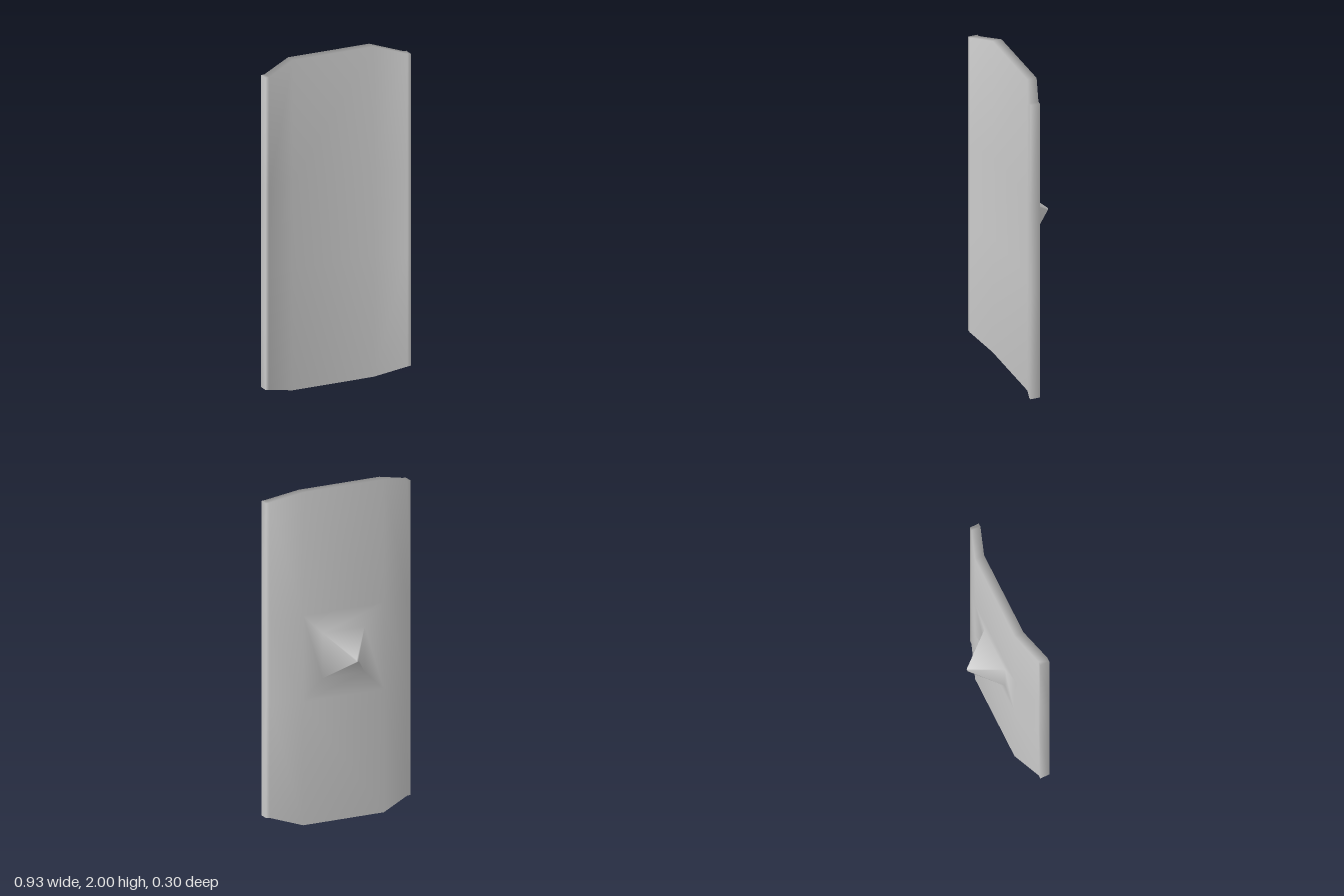
import * as THREE from 'three';

// Plate columns: x, back z, inset of the top and bottom edges
const COLUMNS = [
  [-0.465, 0.09, 0.055], [-0.443, 0.09, 0.053], [-0.26, 0.025, 0],
  [0.26, 0.025, 0], [0.443, 0.09, 0.053], [0.465, 0.09, 0.055],
];
const THICKNESS = 0.057;
const ROWS = 4;

// One smooth skin: a bent plate whose back rises into a square spike
function shieldGeometry() {
  const points = [], index = [];
  const quad = (a, b, c, d) => index.push(a, b, c, a, c, d);
  const last = COLUMNS.length - 1;

  // Front and back grids of vertices
  for (const depth of [THICKNESS, 0]) {
    for (const [x, z, inset] of COLUMNS) {
      for (const y of [inset, 0.74, 1.26, 2 - inset]) points.push(x, y, z + depth);
    }
  }
  const front = (i, j) => i * ROWS + j;
  const back = (i, j) => COLUMNS.length * ROWS + front(i, j);

  // Faces, leaving the middle of the back open for the spike
  for (let i = 0; i < last; i++) {
    for (let j = 0; j < ROWS - 1; j++) {
      quad(front(i, j), front(i + 1, j), front(i + 1, j + 1), front(i, j + 1));
      if (i === 2 && j === 1) continue;
      quad(back(i, j), back(i, j + 1), back(i + 1, j + 1), back(i + 1, j));
    }
    // Top and bottom rims
    const t = ROWS - 1;
    quad(front(i, t), front(i + 1, t), back(i + 1, t), back(i, t));
    quad(front(i, 0), back(i, 0), back(i + 1, 0), front(i + 1, 0));
  }
  // Side rims
  for (let j = 0; j < ROWS - 1; j++) {
    quad(front(last, j), back(last, j), back(last, j + 1), front(last, j + 1));
    quad(front(0, j), front(0, j + 1), back(0, j + 1), back(0, j));
  }

  // Spike: plate opening, base square, small blunt tip
  let ring = [back(2, 1), back(2, 2), back(3, 2), back(3, 1)];
  for (const [half, z] of [[0.136, 0.025], [0.006, -0.15]]) {
    const start = points.length / 3;
    for (const [sx, sy] of [[-1, -1], [-1, 1], [1, 1], [1, -1]]) {
      points.push(sx * half, 1 + sy * half, z);
    }
    const next = [0, 1, 2, 3].map((k) => start + k);
    for (let k = 0; k < 4; k++) {
      const n = (k + 1) % 4;
      quad(ring[k], ring[n], next[n], next[k]);
    }
    ring = next;
  }
  quad(...ring);

  const geometry = new THREE.BufferGeometry();
  geometry.setAttribute('position', new THREE.Float32BufferAttribute(points, 3));
  geometry.setIndex(index);
  geometry.computeVertexNormals();
  return geometry;
}

export function createModel() {
  const model = new THREE.Group();
  model.name = 'spikedPanel';
  const material = new THREE.MeshStandardMaterial({ color: 0xcccccc });
  const plate = new THREE.Mesh(shieldGeometry(), material);
  plate.name = 'bentPlateWithSpike';
  model.add(plate);
  return model;
}
